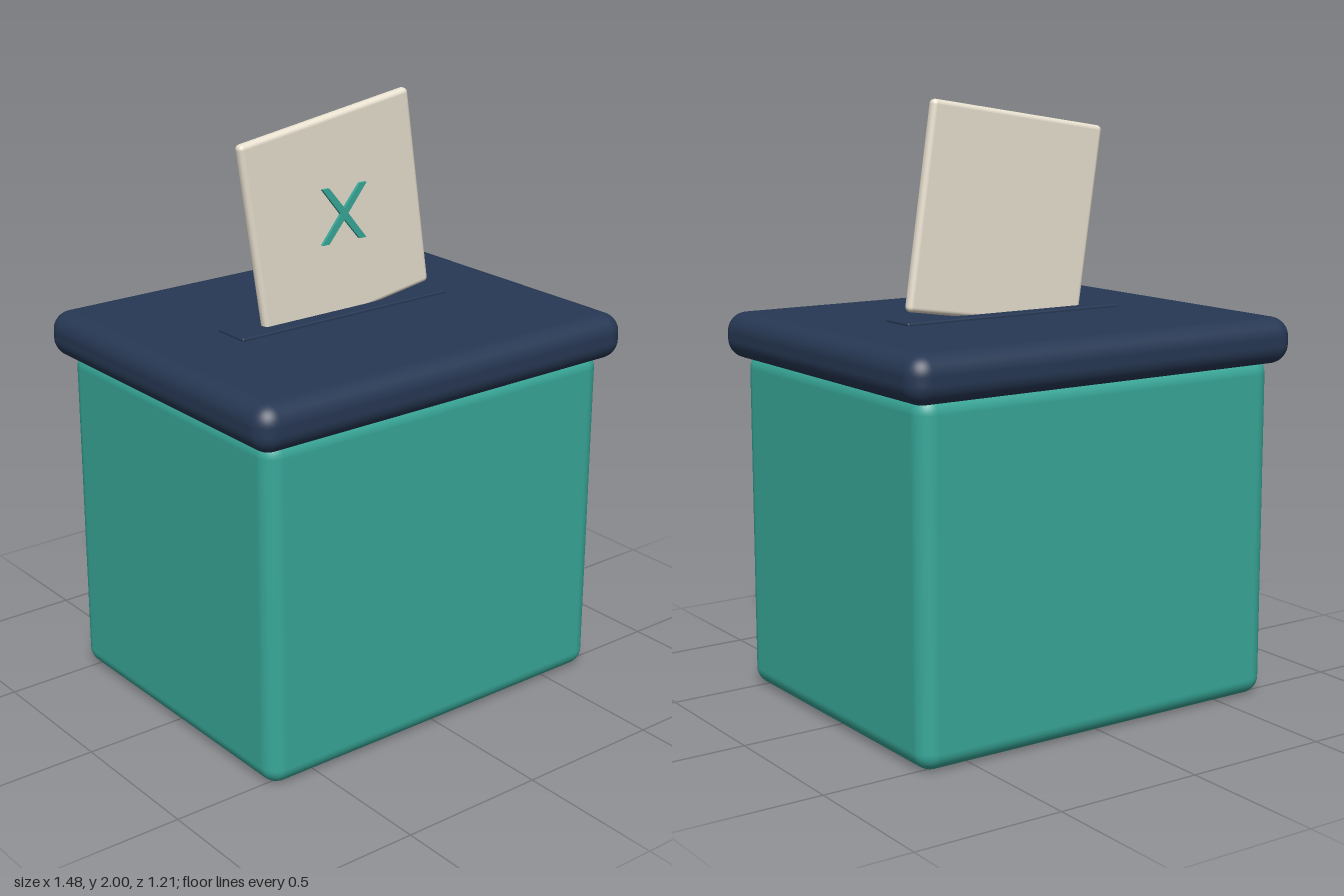
import * as THREE from 'three';
import { RoundedBoxGeometry } from 'three/addons/geometries/RoundedBoxGeometry.js';

const teal = new THREE.MeshStandardMaterial({ color: 0x38a899 });
const navy = new THREE.MeshStandardMaterial({ color: 0x273854 });
const cream = new THREE.MeshStandardMaterial({ color: 0xe8e0cf });

export function createModel() {
  const group = new THREE.Group();

  const add = (name, geometry, material, x, y, z) => {
    const mesh = new THREE.Mesh(geometry, material);
    mesh.name = name;
    mesh.position.set(x, y, z);
    group.add(mesh);
    return mesh;
  };

  // Box body, its top tucked into the lid
  add('boxBody', new RoundedBoxGeometry(1.37, 1.16, 1.11, 5, 0.06), teal, 0, 0.58, 0);

  // Overhanging lid with a thin slot plate
  add('lid', new RoundedBoxGeometry(1.48, 0.155, 1.214, 6, 0.065), navy, 0, 1.2125, 0);
  add('slotPlate', new RoundedBoxGeometry(0.845, 0.03, 0.136, 3, 0.006), navy, 0, 1.285, 0);

  // Tilted paper slip, half dropped into the slot
  const slip = add('paperSlip', new RoundedBoxGeometry(0.682, 0.682, 0.038, 4, 0.017), cream, 0, 1.613, 0);
  slip.rotation.z = 0.15;

  // Cross mark floating just in front of the slip
  const h = 0.092, out = 0.09, inn = 0.062, waist = 0.015;
  const cross = new THREE.Shape([
    [-out, h], [-inn, h], [0, waist + 0.004], [inn, h], [out, h], [waist, 0],
    [out, -h], [inn, -h], [0, -waist - 0.004], [-inn, -h], [-out, -h], [-waist, 0],
  ].map(([x, y]) => new THREE.Vector2(x, y)));
  add('crossMark', new THREE.ExtrudeGeometry(cross, { depth: 0.01, bevelEnabled: false }), teal, 0, 1.631, 0.038);

  return group;
}
